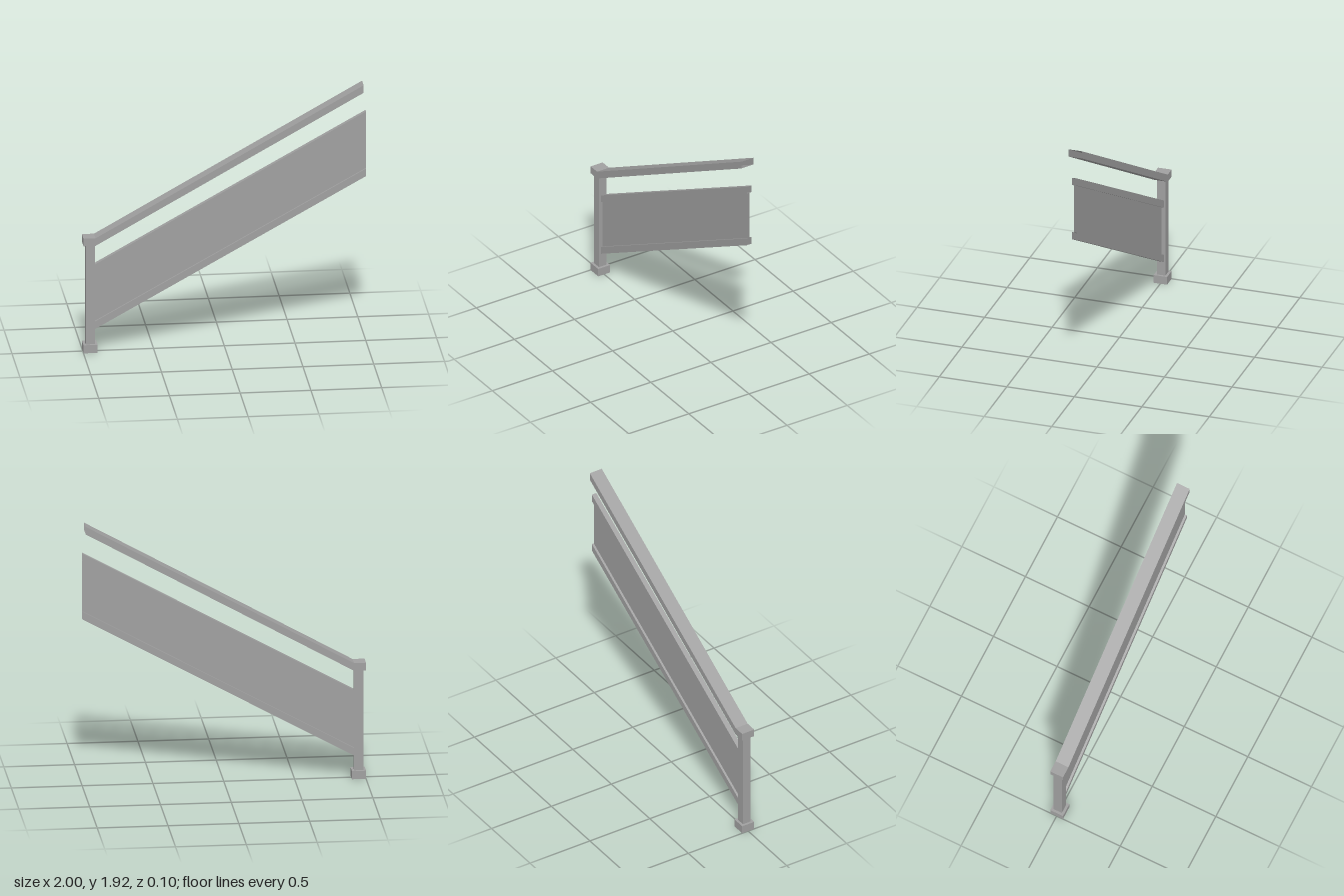
import * as THREE from 'three';

// Hollow rectangular tube following [x, yBottom] stations; ends are open unless capped at the start
function tube(stations, height, z0, z1, capStart) {
  const pos = [];
  const quad = (a, b, c, d) => pos.push(...a, ...b, ...c, ...a, ...c, ...d);
  const rings = stations.map(([x, y]) => [
    [x, y, z1], [x, y + height, z1], [x, y + height, z0], [x, y, z0],
  ]);
  for (let i = 0; i < rings.length - 1; i++) {
    const a = rings[i], b = rings[i + 1];
    for (let k = 0; k < 4; k++) {
      const n = (k + 1) % 4;
      quad(a[k], b[k], b[n], a[n]);
    }
  }
  if (capStart) quad(...rings[0]);
  const geo = new THREE.BufferGeometry();
  geo.setAttribute('position', new THREE.Float32BufferAttribute(pos, 3));
  geo.computeVertexNormals();
  return geo;
}

export function createModel() {
  const group = new THREE.Group();
  const metal = new THREE.MeshStandardMaterial({ color: 0xa0a0a0, side: THREE.DoubleSide });
  metal.name = 'greyMetal';

  const add = (name, geo, x = 0, y = 0, z = 0) => {
    const mesh = new THREE.Mesh(geo, metal);
    mesh.name = name;
    mesh.position.set(x, y, z);
    group.add(mesh);
  };

  // Newel post on its base block
  add('postBase', new THREE.BoxGeometry(0.1, 0.06, 0.1), -0.95, 0.03, 0);
  add('post', new THREE.BoxGeometry(0.064, 0.74, 0.064), -0.95, 0.43, 0);

  // Handrail: level over the post, then sloping up to an open end
  add('handrail', tube([[-1, 0.798], [-0.915, 0.798], [0.98, 1.863]], 0.056, -0.05, 0.05, true));

  // Sloping rails above and below the infill panel
  const x0 = -0.918, x1 = 1, rise = 1.065;
  for (const [name, y] of [['upperRail', 0.59], ['lowerRail', 0.165]]) {
    add(name, tube([[x0, y], [x1, y + rise]], 0.056, -0.02, 0.017, false));
  }

  // Thin infill panel between the rails
  add('infillPanel', tube([[x0, 0.221], [x1, 0.221 + rise]], 0.369, -0.004, 0.001, false));

  return group;
}
